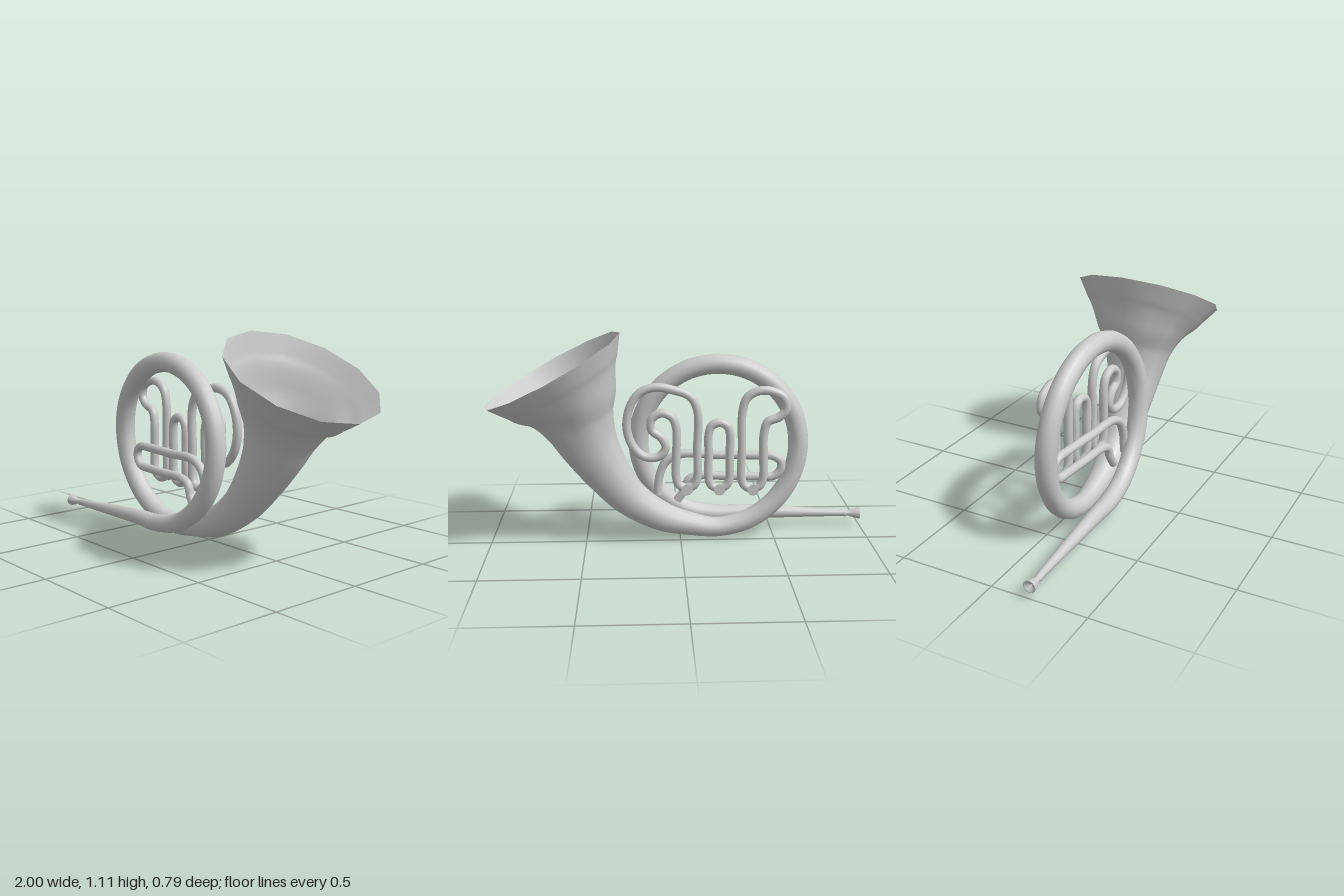
import * as THREE from 'three';

const V = (x, y, z) => new THREE.Vector3(x, y, z);
const material = new THREE.MeshStandardMaterial({ color: 0xcccccc, side: THREE.DoubleSide });

function add(group, name, geometry) {
  const mesh = new THREE.Mesh(geometry, material);
  mesh.name = name;
  group.add(mesh);
  return mesh;
}

// Tube of changing radius through stations [x, y, z, radius]
function taperedTube(stations, steps, sides) {
  const path = new THREE.CatmullRomCurve3(stations.map(s => V(s[0], s[1], s[2])));
  const radii = new THREE.CatmullRomCurve3(stations.map((s, i) => V(s[3], i, 0)), false, 'catmullrom', 0.5);
  const positions = [], index = [];
  const zAxis = V(0, 0, 1);
  for (let i = 0; i <= steps; i++) {
    const t = i / steps;
    const p = path.getPoint(t), r = radii.getPoint(t).x, tangent = path.getTangent(t);
    const n = tangent.clone().cross(zAxis).normalize();
    const b = tangent.clone().cross(n);
    for (let j = 0; j < sides; j++) {
      const a = j / sides * Math.PI * 2;
      const q = p.clone().addScaledVector(n, r * Math.cos(a)).addScaledVector(b, r * Math.sin(a));
      positions.push(q.x, q.y, q.z);
      if (i < steps) {
        const k = (j + 1) % sides, u = i * sides, w = u + sides;
        index.push(u + j, u + k, w + j, u + k, w + k, w + j);
      }
    }
  }
  const g = new THREE.BufferGeometry();
  g.setAttribute('position', new THREE.Float32BufferAttribute(positions, 3));
  g.setIndex(index);
  g.computeVertexNormals();
  return g;
}

// Thin round tube through [x, y] points lying in a slightly slanted plane
function slideTube(points, zAt, closed) {
  const path = new THREE.CatmullRomCurve3(points.map(([x, y]) => V(x, y, zAt(x))), closed);
  return new THREE.TubeGeometry(path, points.length * 8, 0.023, 10, closed);
}

export function createModel() {
  const horn = new THREE.Group();
  horn.name = 'horn';

  // Lead pipe, coiled once, then widening into the bell
  const stations = [
    [-0.92, 0.07, 0.205, 0.018], [-0.75, 0.077, 0.203, 0.025], [-0.55, 0.085, 0.2, 0.034], [-0.35, 0.09, 0.196, 0.041],
  ];
  const coilZ = [0.19, 0.15, 0.112, 0.08, 0.052];
  for (let i = 0; i <= 16; i++) {
    const a = -Math.PI / 2 + i / 16 * Math.PI * 2;
    const q = Math.min(3, Math.floor(i / 4));
    const z = THREE.MathUtils.lerp(coilZ[q], coilZ[q + 1], i / 4 - q);
    const drop = 0.03 * Math.max(0, (i - 12) / 4);
    stations.push([-0.203 + 0.423 * Math.cos(a), 0.51 - drop + 0.423 * Math.sin(a), z, i < 3 ? 0.047 + i * 0.002 : 0.053]);
  }
  stations.push(
    [-0.05, 0.08, 0.045, 0.063], [0.1, 0.127, 0.036, 0.08], [0.27, 0.24, 0.025, 0.1], [0.39, 0.39, 0.015, 0.125],
    [0.475, 0.535, 0.007, 0.155], [0.525, 0.655, 0.002, 0.192], [0.567, 0.765, 0, 0.26],
    [0.612, 0.85, 0, 0.33], [0.655, 0.93, 0, 0.395]);
  add(horn, 'mainTubeAndBell', taperedTube(stations, (stations.length - 1) * 6, 12));

  // Mouthpiece with a shallow cup
  const profile = [[0, 0.025], [0.028, 0], [0.033, 0], [0.022, 0.04], [0.014, 0.065], [0.02, 0.085]];
  const mouthpiece = add(horn, 'mouthpiece', new THREE.LatheGeometry(profile.map(p => new THREE.Vector2(...p)), 12));
  mouthpiece.rotation.z = -Math.PI / 2;
  mouthpiece.position.set(-1, 0.068, 0.205);

  // Three valve slides at the back, each a closed loop
  const backZ = x => 0.045 + 0.055 * x;
  // U bend at the bottom of each slide, between the legs at x0 and x1
  const bend = (x0, x1) => {
    const pts = [];
    for (let i = 0; i <= 4; i++) {
      const a = i / 4 * Math.PI, r = (x1 - x0) / 2;
      pts.push([(x0 + x1) / 2 - r * Math.cos(a), 0.335 - r * Math.sin(a)]);
    }
    return pts;
  };
  add(horn, 'leftSlide', slideTube([
    [-0.435, 0.58], [-0.435, 0.46], ...bend(-0.435, -0.322), [-0.322, 0.5], [-0.322, 0.7],
    [-0.345, 0.77], [-0.4, 0.805], [-0.47, 0.805], [-0.535, 0.77], [-0.548, 0.71], [-0.51, 0.667], [-0.455, 0.643],
  ], backZ, true));
  add(horn, 'middleSlide', slideTube([
    [-0.258, 0.46], ...bend(-0.258, -0.148), [-0.148, 0.46], [-0.148, 0.58],
    [-0.163, 0.62], [-0.203, 0.637], [-0.243, 0.62], [-0.258, 0.58],
  ], backZ, true));
  add(horn, 'rightSlide', slideTube([
    [-0.088, 0.7], [-0.088, 0.5], ...bend(-0.088, 0.022), [0.022, 0.46], [0.022, 0.61],
    [0.045, 0.665], [0.1, 0.687], [0.15, 0.655], [0.15, 0.595], [0.1, 0.555], [0.077, 0.5], [0.115, 0.452],
    [0.19, 0.452], [0.25, 0.51], [0.28, 0.61], [0.262, 0.72], [0.21, 0.795], [0.13, 0.823], [0.04, 0.81], [-0.05, 0.775],
  ], backZ, true));

  // Tuning slide across the front, both ends running into the coil
  add(horn, 'tuningSlide', slideTube([
    [0.12, 0.22], [0.11, 0.32], [0.075, 0.405], [0, 0.447], [-0.2, 0.447], [-0.42, 0.447], [-0.49, 0.445],
    [-0.53, 0.42], [-0.535, 0.375], [-0.5, 0.335], [-0.42, 0.33], [-0.25, 0.33], [-0.1, 0.33],
    [-0.045, 0.305], [-0.025, 0.25], [0.015, 0.19],
  ], x => 0.11 + 0.087 * x, false));

  // Finger buttons behind the bottom bends
  for (const [name, x] of [['leftButton', -0.378], ['middleButton', -0.203], ['rightButton', -0.033]]) {
    const button = new THREE.Group();
    button.name = name;
    const z = backZ(x);
    const stem = add(button, 'stem', new THREE.CylinderGeometry(0.018, 0.018, 0.045, 10));
    const disc = add(button, 'disc', new THREE.CylinderGeometry(0.031, 0.025, 0.016, 10));
    stem.position.z = -0.02;
    disc.position.z = -0.044;
    stem.rotation.x = disc.rotation.x = -Math.PI / 2;
    button.position.set(x, 0.285, z);
    horn.add(button);
  }
  return horn;
}
